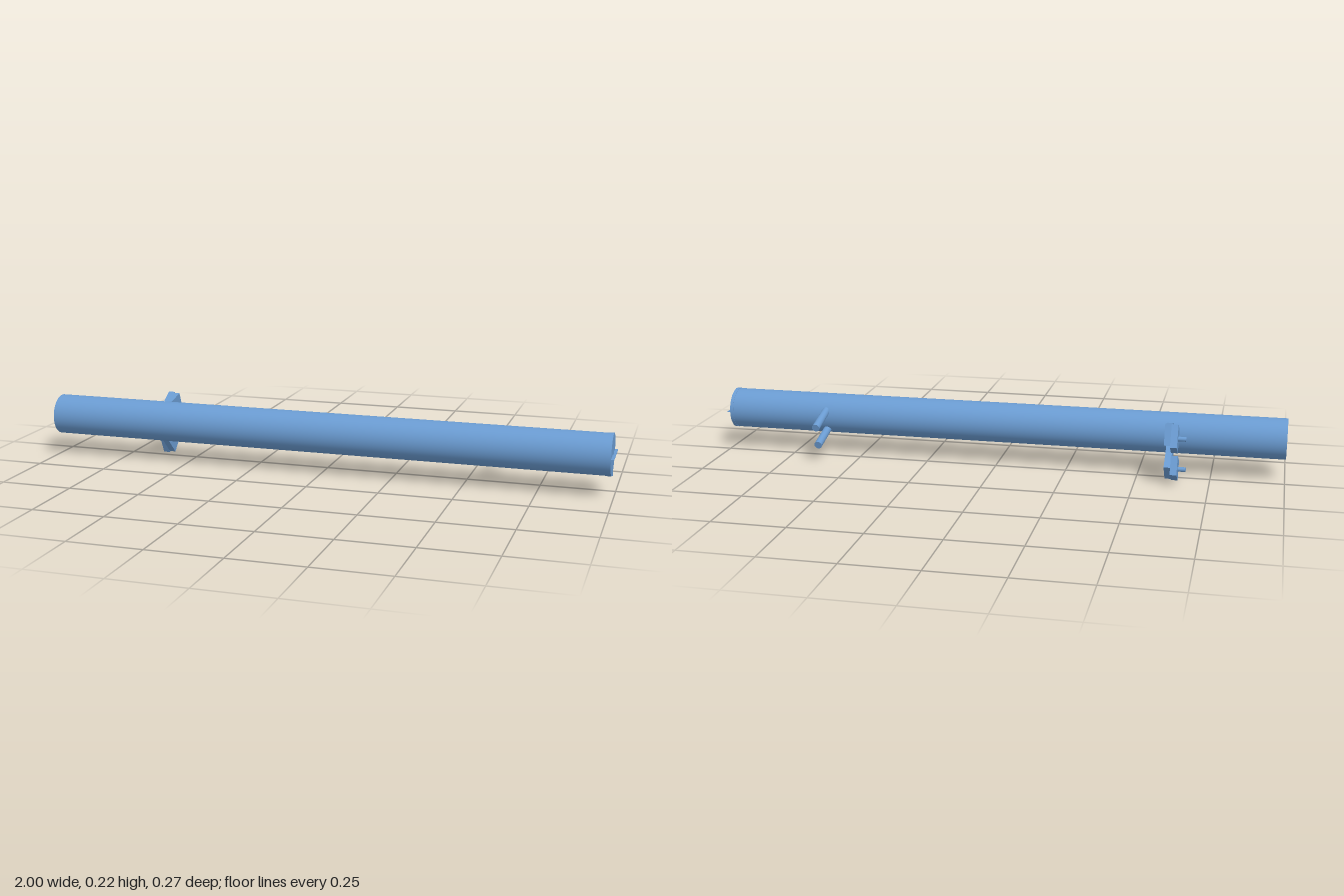
import * as THREE from 'three';

export function createModel() {
  const model = new THREE.Group();
  const blue = new THREE.MeshStandardMaterial({ color: 0x6a9bd1 });
  blue.name = 'steel blue';

  const CY = 0.142, CZ = 0.063, R = 0.071; // axis and radius of the tube

  const add = (name, geometry, x = 0, y = 0, z = 0) => {
    const mesh = new THREE.Mesh(geometry, blue);
    mesh.name = name;
    mesh.position.set(x, y, z);
    model.add(mesh);
    return mesh;
  };

  // round bar between two points
  const rod = (name, a, b, radius, sides = 24) => {
    const from = new THREE.Vector3(...a), to = new THREE.Vector3(...b);
    const dir = to.clone().sub(from);
    const mesh = add(name, new THREE.CylinderGeometry(radius, radius, dir.length(), sides));
    mesh.position.copy(from).add(to).multiplyScalar(0.5);
    mesh.quaternion.setFromUnitVectors(new THREE.Vector3(0, 1, 0), dir.normalize());
  };

  // flat plate with a [z, y] outline, spanning x0 to x1
  const plate = (name, outline, x0, x1) => {
    const shape = new THREE.Shape(outline.map(([z, y]) => new THREE.Vector2(-z, y)));
    const geometry = new THREE.ExtrudeGeometry(shape, { depth: x1 - x0, bevelEnabled: false });
    geometry.rotateY(Math.PI / 2);
    add(name, geometry, x0);
  };

  // long tube and its end cap
  rod('tube', [-1, CY, CZ], [0.985, CY, CZ], R - 0.0005, 64);
  rod('endCap', [0.978, CY, CZ], [0.99, CY, CZ], R + 0.0005, 64);

  // thin cross on the end cap
  add('capUpright', new THREE.BoxGeometry(0.006, 2 * R, 0.003), 0.99, CY, CZ);
  add('capBlade', new THREE.BoxGeometry(0.012, 0.003, 2 * R + 0.002), 0.994, CY, CZ);

  // pair of slanted pegs at the back
  rod('upperPeg', [0.625, 0.167, 0.015], [0.625, 0.1315, -0.1125], 0.0137);
  rod('lowerPeg', [0.625, 0.094, 0.015], [0.625, 0.0635, -0.0945], 0.0137);

  // two bracket arms, each with a pad and a small stud
  const brackets = [
    {
      name: 'upper',
      arm: [[0.02, 0.188], [-0.085, 0.213], [-0.113, 0.145], [-0.035, 0.139], [0.02, 0.12]],
      pad: [[-0.092, 0.215], [-0.134, 0.145], [-0.077, 0.11], [-0.035, 0.18]],
      stud: [0.163, -0.085],
    },
    {
      name: 'lower',
      arm: [[0.04, 0.075], [-0.033, 0.004], [-0.092, 0.062], [-0.03, 0.096], [0.02, 0.145]],
      pad: [[-0.033, 0], [-0.106, 0.041], [-0.075, 0.1], [-0.002, 0.062]],
      stud: [0.047, -0.054],
    },
  ];
  for (const { name, arm, pad, stud } of brackets) {
    plate(name + 'Arm', arm, -0.62, -0.598);
    plate(name + 'Pad', pad, -0.643, -0.62);
    rod(name + 'Stud', [-0.67, ...stud], [-0.64, ...stud], 0.008, 16);
  }

  return model;
}
